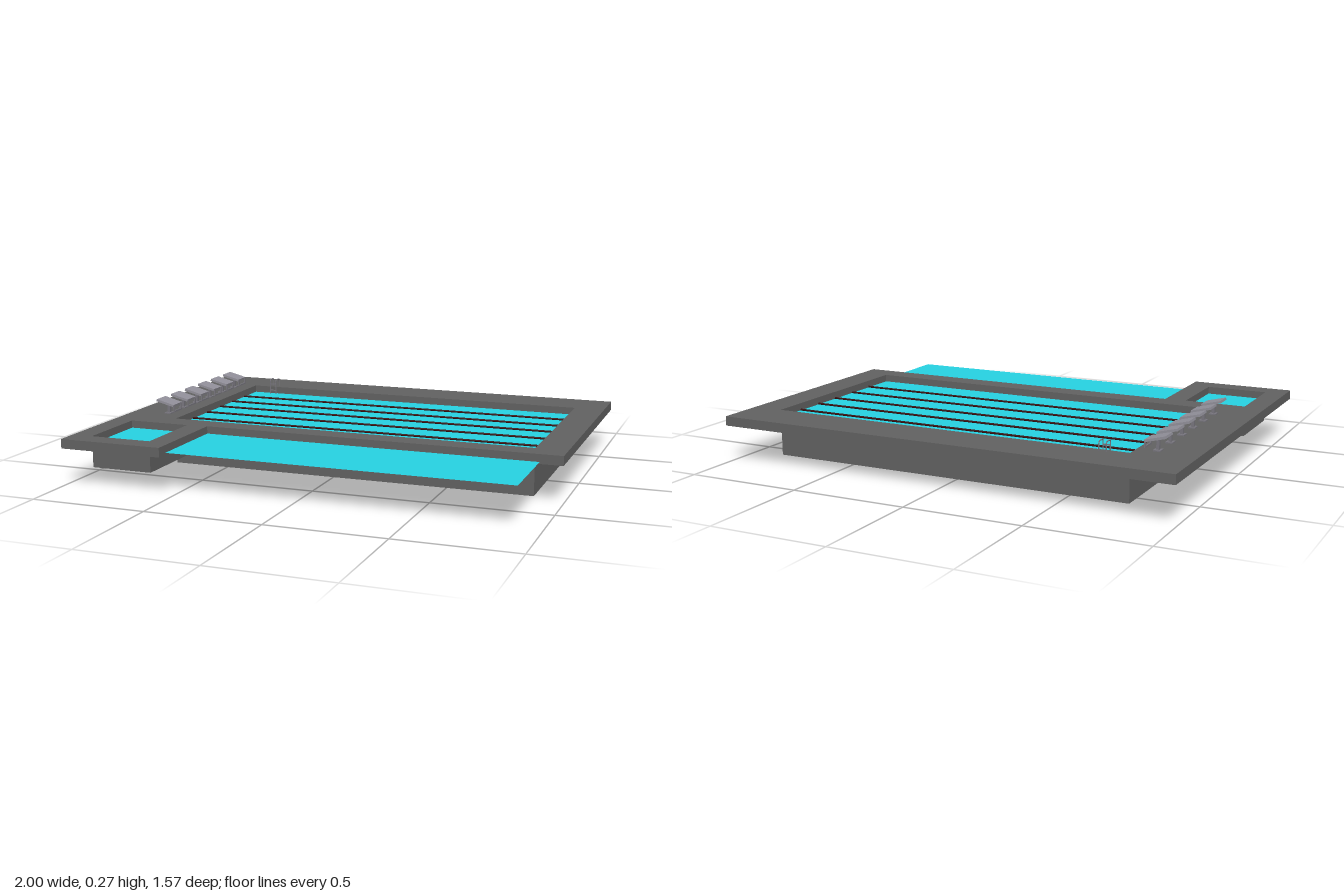
import * as THREE from 'three';

const mat = (color) => new THREE.MeshStandardMaterial({ color, side: THREE.DoubleSide });
const TOP = 0.2, UNDER = 0.16, WATER = 0.168;

export function createModel() {
  const model = new THREE.Group();
  const concrete = mat(0x606060), water = mat(0x26d0e0), rope = mat(0x330808);
  const plastic = mat(0x918f99), metal = mat(0x77757d);

  const add = (parent, name, geometry, material, x = 0, y = 0, z = 0) => {
    const mesh = new THREE.Mesh(geometry, material);
    mesh.name = name;
    mesh.position.set(x, y, z);
    parent.add(mesh);
    return mesh;
  };
  const box = (parent, name, material, w, h, d, x, y, z) =>
    add(parent, name, new THREE.BoxGeometry(w, h, d), material, x, y, z);

  // Footprints of the two pools
  const pools = [
    { name: 'mainBasin', x0: -0.747, x1: 0.866, z0: -0.582, z1: 0.262, floor: 0 },
    { name: 'smallBasin', x0: -0.908, x1: -0.638, z0: 0.367, z1: 0.694, floor: 0.067 },
  ];

  // L-shaped deck surface with a hole over each pool
  const outline = [[-1, -0.784], [1, -0.784], [1, 0.358], [-0.545, 0.358], [-0.545, 0.784], [-1, 0.784]];
  const toPoints = (list) => list.map(([x, z]) => new THREE.Vector2(x, -z));
  const shape = new THREE.Shape(toPoints(outline));
  for (const p of pools) {
    shape.holes.push(new THREE.Path(toPoints([[p.x0, p.z0], [p.x1, p.z0], [p.x1, p.z1], [p.x0, p.z1]])));
  }
  const deck = new THREE.ShapeGeometry(shape);
  deck.rotateX(-Math.PI / 2);
  add(model, 'deckSurface', deck, concrete, 0, TOP, 0);

  // Skirt hanging from the edge of the deck, open below
  outline.forEach(([x, z], i) => {
    const [nx, nz] = outline[(i + 1) % outline.length];
    const panel = new THREE.PlaneGeometry(Math.hypot(nx - x, nz - z), TOP - UNDER);
    const skirt = add(model, 'deckSkirt', panel, concrete, (x + nx) / 2, (TOP + UNDER) / 2, (z + nz) / 2);
    // Turned so the panel faces outward
    skirt.rotation.y = Math.atan2(nz - z, -(nx - x));
  });

  // Basins: boxes without a lid
  for (const p of pools) {
    const h = TOP - p.floor;
    const g = new THREE.BoxGeometry(p.x1 - p.x0, h, p.z1 - p.z0);
    g.setIndex([...g.index.array].filter((_, i) => i < 12 || i >= 18));
    g.clearGroups();
    add(model, p.name, g, concrete, (p.x0 + p.x1) / 2, p.floor + h / 2, (p.z0 + p.z1) / 2);
  }

  // One sheet of water through both basins and past the deck
  const sheet = new THREE.PlaneGeometry(1.813, 1.345);
  sheet.rotateX(-Math.PI / 2);
  add(model, 'water', sheet, water, -0.0015, WATER, 0.0605);

  // Lane ropes
  for (const z of [-0.44, -0.305, -0.175, -0.036, 0.105]) {
    const g = new THREE.CylinderGeometry(0.005, 0.005, 1.61, 8);
    g.rotateZ(Math.PI / 2);
    add(model, 'laneRope', g, rope, 0.06, WATER + 0.003, z);
  }

  // Starting blocks: foot, stem, sloping platform and hand grip
  for (let i = 0; i < 6; i++) {
    const block = new THREE.Group();
    block.name = 'startingBlock';
    block.position.set(-0.83, TOP, 0.168 - i * 0.1345);
    box(block, 'foot', metal, 0.03, 0.005, 0.036, 0, 0.0025, 0);
    box(block, 'stem', metal, 0.012, 0.05, 0.014, 0, 0.027, 0);
    box(block, 'platform', plastic, 0.086, 0.01, 0.08, 0, 0.053, 0).rotation.z = -0.25;
    box(block, 'gripBar', metal, 0.006, 0.007, 0.072, 0.042, 0.017, 0);
    for (const s of [-1, 1]) box(block, 'gripPost', metal, 0.006, 0.03, 0.006, 0.042, 0.029, s * 0.033);
    model.add(block);
  }

  // Ladder: two hooped rails and a cross bar
  const ladder = new THREE.Group();
  ladder.name = 'ladder';
  const hoop = new THREE.CatmullRomCurve3([
    [-0.608, 0.2], [-0.608, 0.23], [-0.602, 0.238], [-0.573, 0.238], [-0.567, 0.23], [-0.567, 0.165],
  ].map(([z, y]) => new THREE.Vector3(0, y, z)), false, 'catmullrom', 0.2);
  for (const x of [-0.66, -0.63]) {
    add(ladder, 'ladderRail', new THREE.TubeGeometry(hoop, 30, 0.0025, 8), metal, x);
  }
  box(ladder, 'ladderRung', metal, 0.03, 0.004, 0.004, -0.645, 0.217, -0.567);
  box(ladder, 'ladderRung', metal, 0.03, 0.004, 0.004, -0.645, 0.185, -0.567);
  model.add(ladder);

  return model;
}
